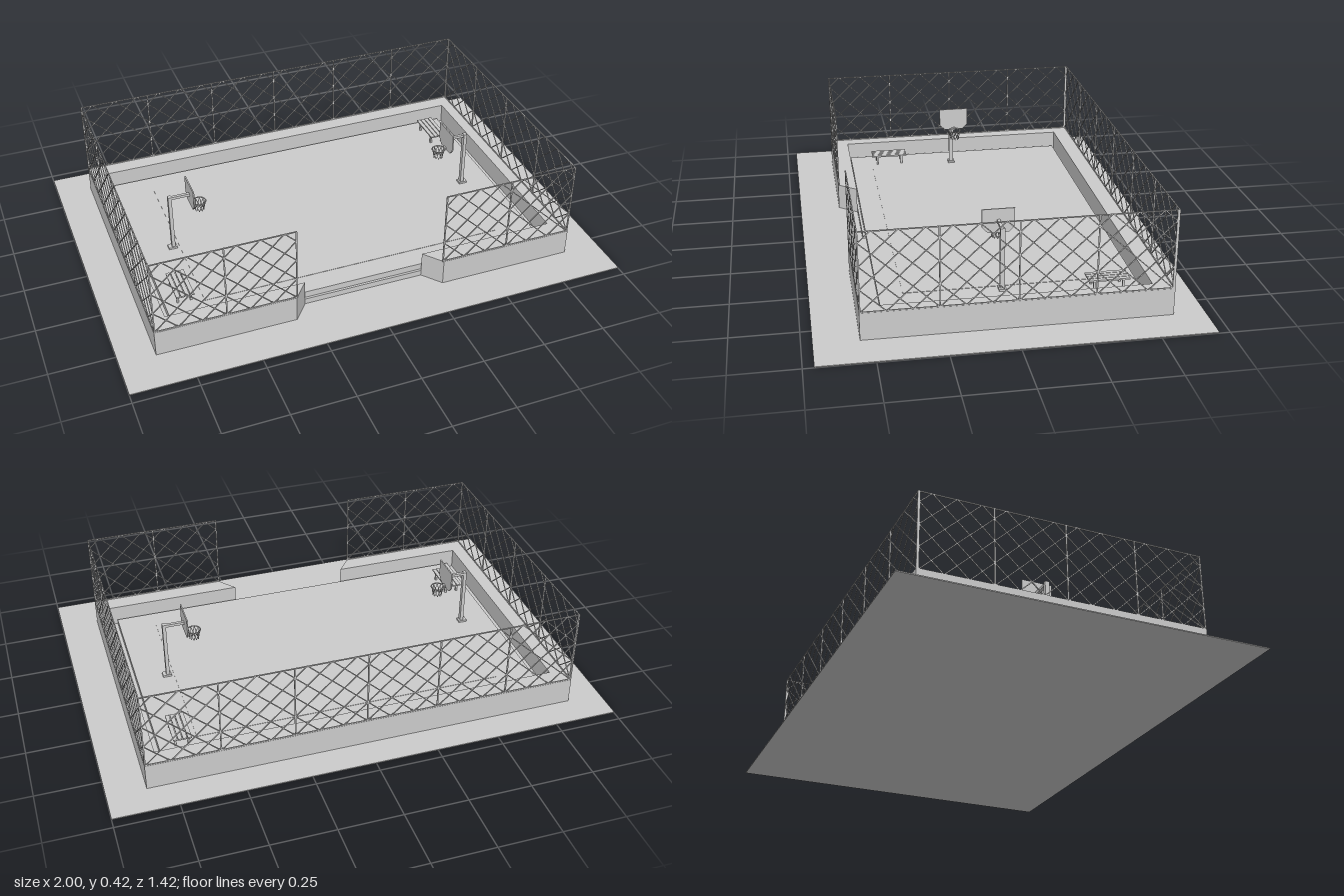
import * as THREE from 'three';
import { mergeGeometries } from 'three/addons/utils/BufferGeometryUtils.js';

const grey = new THREE.MeshStandardMaterial({ color: 0xcccccc, flatShading: true });
const greyThin = new THREE.MeshStandardMaterial({ color: 0xcccccc, side: THREE.DoubleSide });

const WALL_TOP = 0.11, FENCE_TOP = 0.42, FLOOR = 0.053;

function add(parent, name, geometry, material = grey) {
  const mesh = new THREE.Mesh(geometry, material);
  mesh.name = name;
  parent.add(mesh);
  return mesh;
}

// Box given by its minimum and maximum corners
function block(x0, x1, y0, y1, z0, z1) {
  return new THREE.BoxGeometry(x1 - x0, y1 - y0, z1 - z0)
    .translate((x0 + x1) / 2, (y0 + y1) / 2, (z0 + z1) / 2);
}

// Thin square bar between two points
function bar(a, b, t) {
  const p = new THREE.Vector3(...a), q = new THREE.Vector3(...b);
  const d = q.clone().sub(p);
  const turn = new THREE.Quaternion().setFromUnitVectors(new THREE.Vector3(0, 1, 0), d.clone().normalize());
  return new THREE.BoxGeometry(t, d.length(), t)
    .applyQuaternion(turn)
    .translate(...p.add(q).multiplyScalar(0.5).toArray());
}

// Diamond wire panel in the xy plane, starting at the origin
function panelGeometry(w, h) {
  const parts = [], t = 0.0035, px = w / 3, py = h / 3.5, m = py / px;
  for (let k = -3; k < 4; k++) {
    // Clip y = m x + k py to the panel, then mirror it
    const x0 = Math.max(0, -k * px), x1 = Math.min(w, (h - k * py) / m);
    if (x1 - x0 < 0.005) continue;
    const y0 = m * x0 + k * py, y1 = m * x1 + k * py;
    parts.push(bar([x0, y0, 0], [x1, y1, 0], t));
    parts.push(bar([w - x0, y0, 0], [w - x1, y1, 0], t));
  }
  for (const x of [0, w]) parts.push(bar([x, 0, 0], [x, h, 0], 0.005));
  for (const y of [0.002, h - 0.002]) parts.push(bar([0, y, 0], [w, y, 0], 0.004));
  return mergeGeometries(parts);
}

// Run of equal panels from one ground point to another
function fenceRun(name, x0, z0, x1, z1, count) {
  const run = new THREE.Group();
  run.name = name;
  const length = Math.hypot(x1 - x0, z1 - z0), w = length / count;
  const geometry = panelGeometry(w, FENCE_TOP - WALL_TOP);
  for (let i = 0; i < count; i++) add(run, 'fencePanel', geometry).position.x = i * w;
  run.position.set(x0, WALL_TOP, z0);
  run.rotation.y = -Math.atan2(z1 - z0, x1 - x0);
  return run;
}

// Hoop standing at the -x end, facing +x
function createHoop() {
  const hoop = new THREE.Group();
  hoop.name = 'basketballHoop';
  add(hoop, 'poleBase', block(-0.665, -0.63, FLOOR, FLOOR + 0.008, -0.014, 0.014));
  add(hoop, 'pole', block(-0.651, -0.637, FLOOR, 0.3, -0.009, 0.009));
  add(hoop, 'arm', block(-0.64, -0.56, 0.287, 0.298, -0.006, 0.006));

  // Backboard with cut lower corners
  const outline = new THREE.Shape([[-0.062, 0.34], [-0.062, 0.268], [-0.04, 0.245],
    [0.04, 0.245], [0.062, 0.268], [0.062, 0.34]].map(p => new THREE.Vector2(...p)));
  const board = new THREE.ExtrudeGeometry(outline, { depth: 0.005, bevelEnabled: false });
  add(hoop, 'backboard', board.rotateY(Math.PI / 2).translate(-0.5625, 0, 0));

  const cx = -0.525, rimY = 0.25;
  add(hoop, 'rim', new THREE.TorusGeometry(0.027, 0.0025, 6, 20).rotateX(Math.PI / 2).translate(cx, rimY, 0));
  add(hoop, 'rimBracket', block(-0.56, -0.55, rimY - 0.004, rimY + 0.004, -0.008, 0.008));

  // Crossed net cords
  const cords = [], n = 10;
  const at = (a, r, y) => [cx + r * Math.cos(a), y, r * Math.sin(a)];
  for (let i = 0; i < n; i++) {
    const a = i / n * Math.PI * 2;
    for (const s of [-1, 1]) {
      cords.push(bar(at(a, 0.026, rimY), at(a + s * 0.63, 0.018, 0.21), 0.002));
    }
  }
  add(hoop, 'net', mergeGeometries(cords), greyThin);
  return hoop;
}

// Slatted bench, long along z
function createBench(x, z) {
  const bench = new THREE.Group();
  bench.name = 'bench';
  for (let i = 0; i < 4; i++) {
    const sx = -0.0355 + i * 0.0185;
    add(bench, 'slat', block(sx, sx + 0.0155, 0.09, 0.096, -0.078, 0.078));
  }
  for (const s of [-1, 1]) {
    const lz = s * 0.055;
    add(bench, 'crossBar', block(-0.033, 0.033, 0.084, 0.09, lz - 0.004, lz + 0.004));
    for (const lx of [-0.026, 0.026]) {
      add(bench, 'leg', block(lx - 0.004, lx + 0.004, FLOOR, 0.086, lz - 0.004, lz + 0.004));
    }
  }
  bench.position.set(x, 0, z);
  return bench;
}

export function createModel() {
  const model = new THREE.Group();
  model.name = 'basketballCourt';

  // Ground and stepped court floor
  add(model, 'ground', block(-1, 1, 0, 0.004, -0.71, 0.71));
  add(model, 'lowerStep', block(-0.8, 0.8, 0.004, 0.027, -0.52, 0.47));
  add(model, 'courtFloor', block(-0.77, 0.77, 0.02, FLOOR, -0.505, 0.46));
  add(model, 'playingArea', block(-0.62, 0.62, 0.04, FLOOR + 0.0015, -0.415, 0.37));

  // Low wall around the court with a splayed entrance at the front
  const plan = new THREE.Shape([[-0.31, 0.545], [-0.86, 0.545], [-0.86, -0.59], [0.85, -0.59],
    [0.85, 0.545], [0.3, 0.545], [0.24, 0.47], [0.8, 0.47], [0.8, -0.52], [-0.8, -0.52],
    [-0.8, 0.47], [-0.25, 0.47]].map(([x, z]) => new THREE.Vector2(x, -z)));
  const wall = new THREE.ExtrudeGeometry(plan, { depth: WALL_TOP, bevelEnabled: false });
  add(model, 'wall', wall.rotateX(-Math.PI / 2));

  // Wire fence on the outer edge of the wall
  model.add(
    fenceRun('backFence', -0.857, -0.587, 0.847, -0.587, 6),
    fenceRun('rightFence', -0.857, 0.542, -0.857, -0.582, 4),
    fenceRun('leftFence', 0.847, 0.542, 0.847, -0.582, 4),
    fenceRun('frontRightFence', -0.857, 0.542, -0.307, 0.542, 2),
    fenceRun('frontLeftFence', 0.297, 0.542, 0.847, 0.542, 2),
  );

  // Hoops at both ends
  const rightHoop = createHoop(), leftHoop = createHoop();
  leftHoop.rotation.y = Math.PI;
  rightHoop.position.z = leftHoop.position.z = 0.004;
  model.add(rightHoop, leftHoop);

  // Benches in opposite corners
  model.add(createBench(-0.693, 0.288), createBench(0.682, -0.384));
  return model;
}
